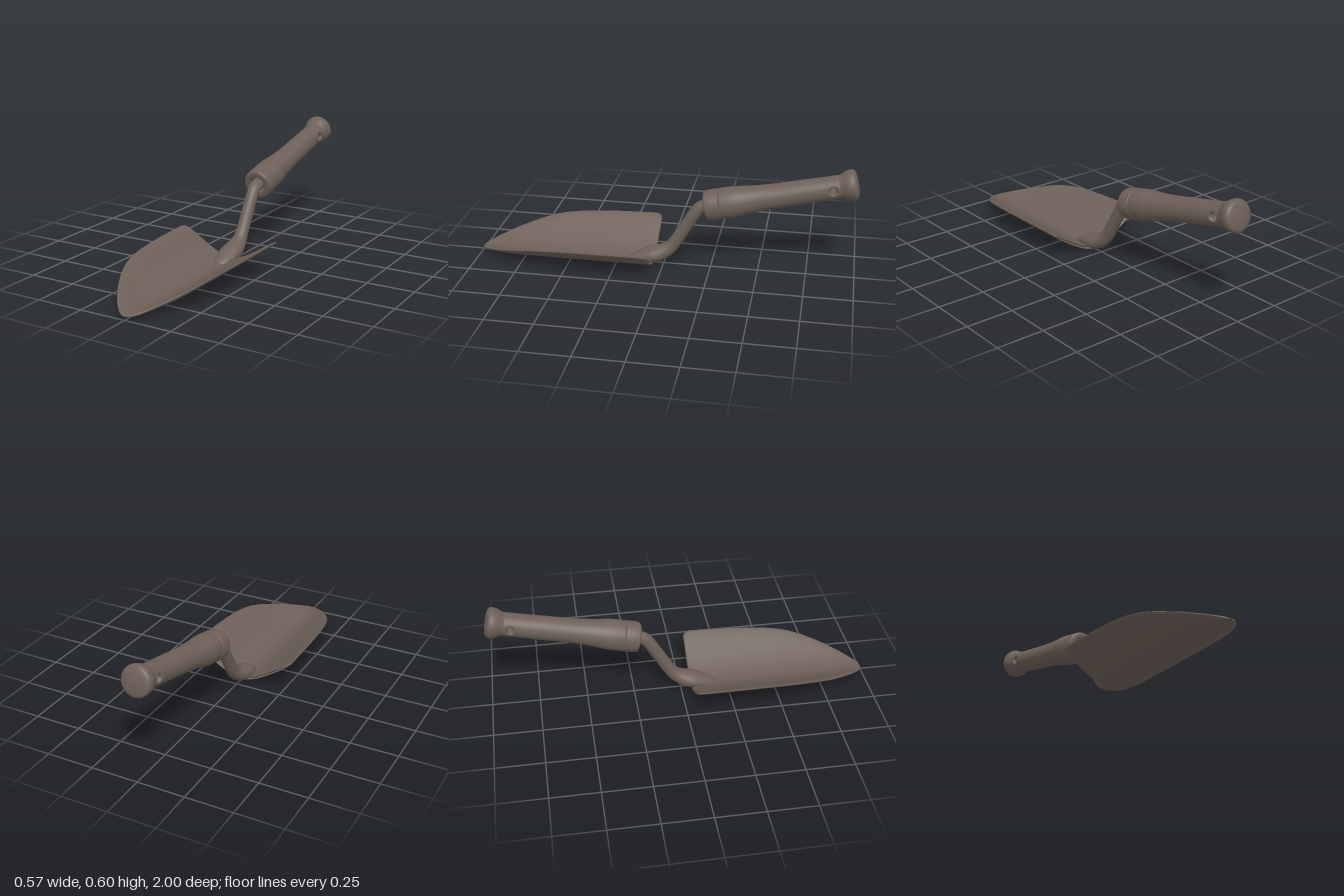
import * as THREE from 'three';

const bronze = new THREE.MeshStandardMaterial({ color: 0x6d6058 });
bronze.name = 'dull bronze';

// Skin a list of closed rings (each an array of Vector3)
function loft(rings) {
  const n = rings[0].length, pos = [], idx = [];
  rings.forEach(r => r.forEach(p => pos.push(p.x, p.y, p.z)));
  for (let i = 0; i < rings.length - 1; i++) {
    for (let j = 0; j < n; j++) {
      const a = i * n + j, b = i * n + (j + 1) % n;
      idx.push(a, a + n, b + n, a, b + n, b);
    }
  }
  const g = new THREE.BufferGeometry();
  g.setAttribute('position', new THREE.Float32BufferAttribute(pos, 3));
  g.setIndex(idx);
  g.computeVertexNormals();
  return g;
}

function add(parent, name, geometry) {
  const m = new THREE.Mesh(geometry, bronze);
  m.name = name;
  parent.add(m);
  return m;
}

// Smooth curve through points, uniform in the point index
const spline = pts => new THREE.CatmullRomCurve3(pts, false, 'catmullrom', 0.5);

// Scooped blade: one thin cross-section per station along z
function bladeGeometry() {
  // z, half width, half thickness
  const stations = [
    [0.062, 0.25, 0.0005], [0.056, 0.255, 0.006], [0.057, 0.262, 0.01], [0.064, 0.275, 0.011],
    [0.078, 0.283, 0.011], [0.1, 0.285, 0.011], [0.2, 0.283, 0.011], [0.3, 0.28, 0.011],
    [0.4, 0.275, 0.011], [0.5, 0.267, 0.011], [0.58, 0.256, 0.011], [0.65, 0.24, 0.011],
    [0.72, 0.215, 0.011], [0.78, 0.187, 0.011], [0.84, 0.154, 0.011], [0.89, 0.12, 0.01],
    [0.93, 0.091, 0.009], [0.96, 0.064, 0.008], [0.98, 0.044, 0.007], [0.993, 0.024, 0.005],
    [1.0, 0.001, 0.0005],
  ];
  const N = 32;
  return loft(stations.map(([z, w, h]) => {
    const ring = [];
    for (const side of [1, -1]) {
      for (let k = 0; k < N; k++) {
        const u = -Math.cos(Math.PI * k / N) * side;
        const x = u * w;
        const mid = 0.011 + 0.73 * (Math.hypot(x, 0.1) - 0.1) + 0.008 * THREE.MathUtils.smoothstep(z, 0.75, 0.95);
        ring.push(new THREE.Vector3(x, mid + side * h * Math.sqrt(Math.max(0, 1 - u ** 8)), z));
      }
    }
    return ring;
  }));
}

// Bent neck that flares and flattens onto the blade
function neckGeometry() {
  // z, y, half width, half depth
  const s = [
    [-0.3, 0.367, 0.033, 0.033], [-0.245, 0.356, 0.033, 0.033], [-0.198, 0.34, 0.033, 0.033],
    [-0.165, 0.305, 0.033, 0.033], [-0.11, 0.212, 0.033, 0.033], [-0.058, 0.125, 0.034, 0.034],
    [-0.02, 0.083, 0.042, 0.038], [0.03, 0.056, 0.055, 0.044], [0.07, 0.046, 0.059, 0.041],
    [0.12, 0.034, 0.052, 0.03], [0.16, 0.024, 0.038, 0.018], [0.19, 0.014, 0.015, 0.005],
  ];
  const path = spline(s.map(([z, y]) => new THREE.Vector3(0, y, z)));
  const size = spline(s.map(([, , rx, ry]) => new THREE.Vector3(rx, ry, 0)));
  const rings = [];
  for (let i = 0; i <= 55; i++) {
    const p = path.getPoint(i / 55), d = path.getTangent(i / 55), r = size.getPoint(i / 55);
    const ring = [];
    for (let j = 0; j < 28; j++) {
      const a = j / 28 * Math.PI * 2, c = Math.cos(a) * r.y;
      ring.push(new THREE.Vector3(Math.sin(a) * r.x, Math.max(0.002, p.y + c * d.z), p.z - c * d.y));
    }
    rings.push(ring);
  }
  return loft(rings);
}

const lathe = pts => new THREE.LatheGeometry(pts.map(([r, t]) => new THREE.Vector2(r, t)), 48);

// Half of the drilled part of the grip: tunnel, countersink and outer skin
const GRIP_R = 0.0605, T0 = 0.63, T1 = 0.70;
function drilledHalf() {
  const mid = (T0 + T1) / 2, half = (T1 - T0) / 2, n = 64, rings = [];
  const onSkin = (t, th, r) => new THREE.Vector3(r * Math.cos(th), t, r * Math.sin(th));
  const circle = (rad, depth) => Array.from({ length: n }, (_, j) => {
    const a = j / n * Math.PI * 2, z = rad * Math.sin(a);
    return new THREE.Vector3(depth * Math.sqrt(GRIP_R ** 2 - z * z), mid + rad * Math.cos(a), z);
  });
  rings.push(circle(0.018, 0), circle(0.018, 0.75), circle(0.02, 0.88), circle(0.024, 0.97));
  for (let k = 0; k <= 10; k++) {
    const f = k / 10;
    rings.push(Array.from({ length: n }, (_, j) => {
      const a = j / n * Math.PI * 2, c = Math.cos(a), s = Math.sin(a);
      const q = 1 / Math.max(Math.abs(c), Math.abs(s));
      const th0 = Math.asin(0.028 * s / GRIP_R);
      return onSkin(
        mid + THREE.MathUtils.lerp(0.028 * c, half * c * q, f),
        THREE.MathUtils.lerp(th0, Math.PI / 2 * s * q, f), GRIP_R);
    }));
  }
  return loft(rings);
}

export function createModel() {
  const model = new THREE.Group();
  model.name = 'handTrowel';
  add(model, 'blade', bladeGeometry());
  add(model, 'neck', neckGeometry());

  // Handle, built along its own y axis, then tilted backwards
  const handle = new THREE.Group();
  handle.name = 'handle';
  handle.position.set(0, 0.348, -0.217);
  handle.rotation.x = -1.345;
  model.add(handle);

  // Collar with a recessed mouth around the neck
  add(handle, 'collar', lathe([
    [0.03, 0.035], [0.038, 0.03], [0.04, 0.012], [0.045, 0.004], [0.054, 0], [0.068, 0.001],
    [0.076, 0.005], [0.08, 0.014], [0.081, 0.04], [0.081, 0.076], [0.079, 0.08], [0.076, 0.082],
  ]));
  const body = spline([
    [0.076, 0.082], [0.08, 0.087], [0.081, 0.12], [0.0795, 0.165], [0.073, 0.22], [0.067, 0.29],
    [0.0635, 0.37], [0.0625, 0.46], [0.0615, 0.55], [GRIP_R, T0],
  ].map(([r, t]) => new THREE.Vector3(r, t, 0)));
  add(handle, 'grip', lathe(body.getPoints(45).map(p => [p.x, p.y])));

  // Hanging hole through both sides
  for (const turn of [0, Math.PI]) add(handle, 'hangingHole', drilledHalf()).rotation.y = turn;

  // Flared pommel
  add(handle, 'pommel', lathe([
    [GRIP_R, T1], [0.063, 0.71], [0.069, 0.723], [0.0745, 0.735], [0.078, 0.748], [0.079, 0.76],
    [0.0775, 0.771], [0.072, 0.779], [0.062, 0.784], [0.045, 0.788], [0.022, 0.79], [0, 0.791],
  ]));
  return model;
}
